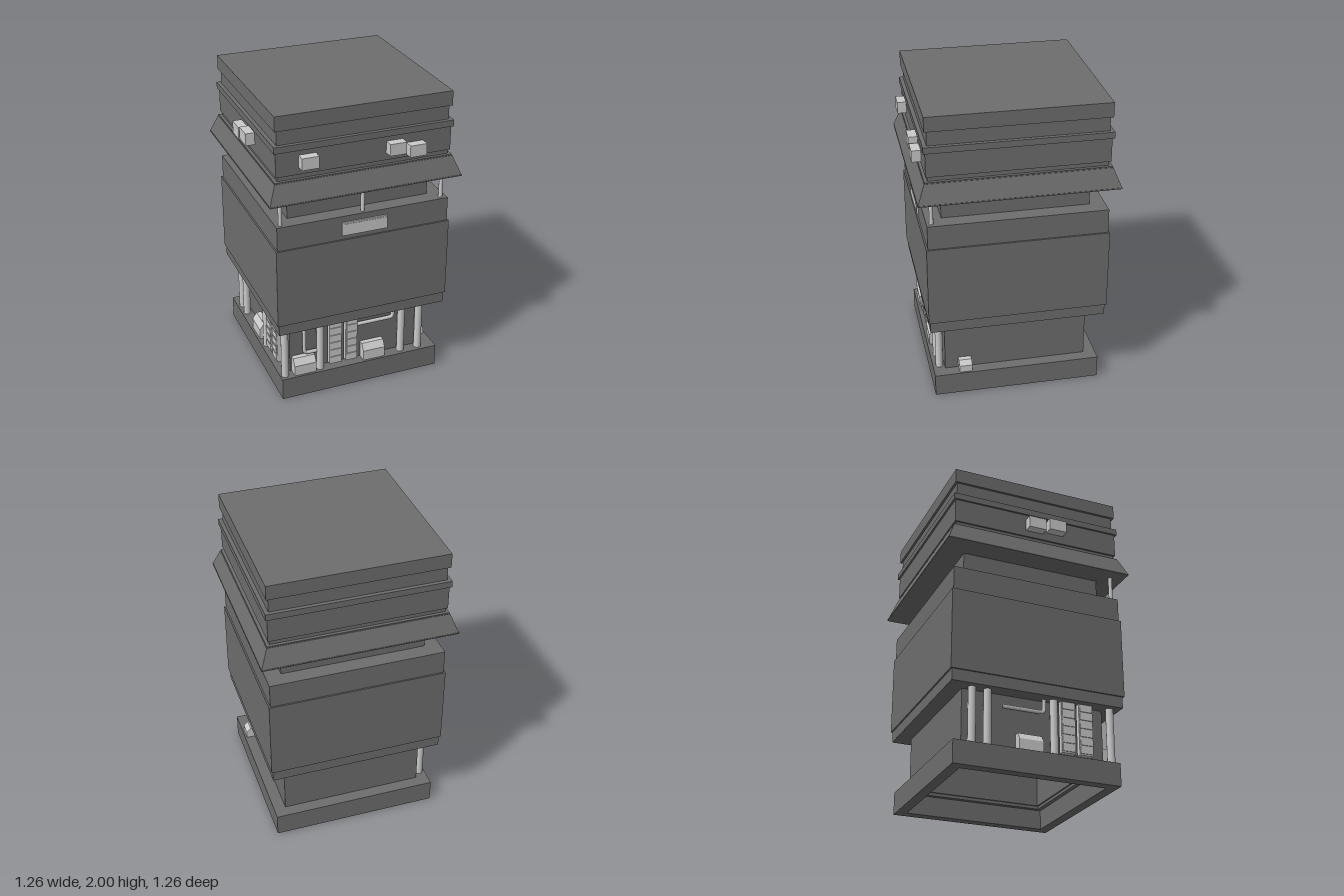
import * as THREE from 'three';

const wallMat = new THREE.MeshStandardMaterial({ color: 0x6e6e6e, flatShading: true });
const trimMat = new THREE.MeshStandardMaterial({ color: 0xcccccc, flatShading: true });
const pipeMat = new THREE.MeshStandardMaterial({ color: 0xcccccc });

function add(parent, name, geometry, material) {
  const mesh = new THREE.Mesh(geometry, material);
  mesh.name = name;
  parent.add(mesh);
  return mesh;
}

// Box given by its minimum and maximum on each axis
function box(parent, name, [x0, x1], [y0, y1], [z0, z1], material = trimMat) {
  const mesh = add(parent, name, new THREE.BoxGeometry(x1 - x0, y1 - y0, z1 - z0), material);
  mesh.position.set((x0 + x1) / 2, (y0 + y1) / 2, (z0 + z1) / 2);
  return mesh;
}

function square(path, h) {
  path.moveTo(-h, -h);
  path.lineTo(h, -h);
  path.lineTo(h, h);
  path.lineTo(-h, h);
  path.closePath();
  return path;
}

// Hollow square storey
function ring(parent, name, outer, inner, y0, y1) {
  const shape = square(new THREE.Shape(), outer);
  shape.holes.push(square(new THREE.Path(), inner));
  const g = new THREE.ExtrudeGeometry(shape, { depth: y1 - y0, bevelEnabled: false });
  g.rotateX(-Math.PI / 2).translate(0, y0, 0);
  return add(parent, name, g, wallMat);
}

function post(parent, name, x, z, y0, y1, r) {
  const mesh = add(parent, name, new THREE.CylinderGeometry(r, r, y1 - y0, 12), pipeMat);
  mesh.position.set(x, (y0 + y1) / 2, z);
}

// Bent pipe through three points: straight runs joined by a tight elbow
function pipe(parent, a, b, c) {
  const [A, B, C] = [a, b, c].map(([x, y]) => new THREE.Vector3(x, y, 0.5));
  const towards = (p) => B.clone().add(p.clone().sub(B).setLength(0.025));
  const path = new THREE.CurvePath();
  path.add(new THREE.LineCurve3(A, towards(A)));
  path.add(new THREE.QuadraticBezierCurve3(towards(A), B, towards(C)));
  path.add(new THREE.LineCurve3(towards(C), C));
  add(parent, 'pipe', new THREE.TubeGeometry(path, 40, 0.013, 8), pipeMat);
}

// Cabinet with a sloping lid, standing against the wall
function cabinet(parent, x0, x1, height, z1) {
  const s = new THREE.Shape();
  s.moveTo(0.46, 0.15);
  s.lineTo(z1, 0.15);
  s.lineTo(z1, 0.15 + height * 0.62);
  s.lineTo(z1 - 0.03, 0.15 + height);
  s.lineTo(0.46, 0.15 + height);
  s.closePath();
  const g = new THREE.ExtrudeGeometry(s, { depth: x1 - x0, bevelEnabled: false });
  g.rotateY(-Math.PI / 2).translate(x1, 0, 0);
  add(parent, 'cabinet', g, trimMat);
}

// Tall panel with horizontal slats
function panel(parent, x0, x1) {
  box(parent, 'panel', [x0, x1], [0.175, 0.51], [0.49, 0.525]);
  for (let i = 0; i < 6; i++) {
    const y = 0.185 + i * 0.055;
    box(parent, 'panelSlat', [x0 + 0.006, x1 - 0.006], [y, y + 0.045], [0.52, 0.531]);
  }
}

function airUnit(parent, x0, x1, y0, y1) {
  box(parent, 'airUnit', [x0, x1], [y0, y1], [0.56, 0.63]);
}

export function createModel() {
  const model = new THREE.Group();
  model.name = 'towerBuilding';
  const tower = new THREE.Group();
  tower.name = 'tower';
  tower.position.set(0.004, 0, -0.005);
  model.add(tower);

  // Hollow lower storeys around a continuous core
  ring(tower, 'baseFrame', 0.55, 0.48, 0, 0.13);
  ring(tower, 'baseLedge', 0.55, 0.45, 0.13, 0.15);
  ring(tower, 'core', 0.472, 0.44, 0.15, 1.46);
  ring(tower, 'lowerBand', 0.573, 0.46, 0.51, 0.585);
  ring(tower, 'middleStorey', 0.583, 0.46, 0.585, 1.12);
  ring(tower, 'upperBand', 0.573, 0.46, 1.12, 1.28);

  // Sloping eave
  const r2 = Math.SQRT2;
  const eave = new THREE.CylinderGeometry(0.583 * r2, 0.63 * r2, 0.12, 4);
  eave.rotateY(Math.PI / 4).translate(0, 1.515, 0);
  add(tower, 'eave', eave, wallMat);
  const lip = [-0.632, 0.632];
  box(tower, 'eaveLip', lip, [1.448, 1.456], lip, wallMat);

  // Stacked top storey: half width, bottom, top
  [
    [0.58, 1.57, 1.583],
    [0.56, 1.583, 1.612],
    [0.571, 1.612, 1.77],
    [0.583, 1.77, 1.812],
    [0.558, 1.812, 1.905],
    [0.573, 1.905, 2],
  ].forEach(([h, y0, y1]) => box(tower, 'topBand', [-h, h], [y0, y1], [-h, h], wallMat));

  // Front facade
  const front = new THREE.Group();
  front.name = 'frontFacade';
  tower.add(front);
  for (const x of [-0.517, -0.272, 0.305, 0.432]) post(front, 'column', x, 0.505, 0.15, 0.51, 0.025);
  panel(front, -0.214, -0.128);
  panel(front, -0.1, -0.018);
  cabinet(front, -0.46, -0.31, 0.115, 0.535);
  cabinet(front, 0.025, 0.178, 0.115, 0.535);
  pipe(front, [-0.38, 0.51], [-0.38, 0.29], [-0.28, 0.29]);
  pipe(front, [-0.02, 0.425], [0.245, 0.425], [0.245, 0.51]);
  for (const x of [-0.54, 0, 0.535]) post(front, 'eavePost', x, 0.541, 1.28, 1.455, 0.013);
  box(front, 'signBoard', [-0.152, 0.152], [1.15, 1.24], [0.56, 0.584]);
  box(front, 'signFace', [-0.142, 0.142], [1.16, 1.23], [0.58, 0.587]);
  airUnit(front, -0.427, -0.317, 1.66, 1.737);
  airUnit(front, 0.137, 0.247, 1.66, 1.737);
  airUnit(front, 0.272, 0.382, 1.63, 1.706);

  // Facade on the -x side, drawn facing +z and then turned
  const side = new THREE.Group();
  side.name = 'rightFacade';
  side.rotation.y = -Math.PI / 2;
  tower.add(side);
  for (const x of [-0.42, -0.32, 0.12]) post(side, 'column', x, 0.512, 0.15, 0.51, 0.025);
  panel(side, 0.165, 0.26);
  panel(side, 0.285, 0.38);
  cabinet(side, -0.12, 0.04, 0.115, 0.535);
  pipe(side, [-0.22, 0.425], [0.06, 0.425], [0.06, 0.51]);
  airUnit(side, -0.08, 0.04, 1.655, 1.735);
  airUnit(side, 0.065, 0.185, 1.67, 1.75);

  // Small cabinet on the +x side
  const other = new THREE.Group();
  other.name = 'leftFacade';
  other.rotation.y = Math.PI / 2;
  tower.add(other);
  cabinet(other, -0.385, -0.3, 0.075, 0.537);

  return model;
}
